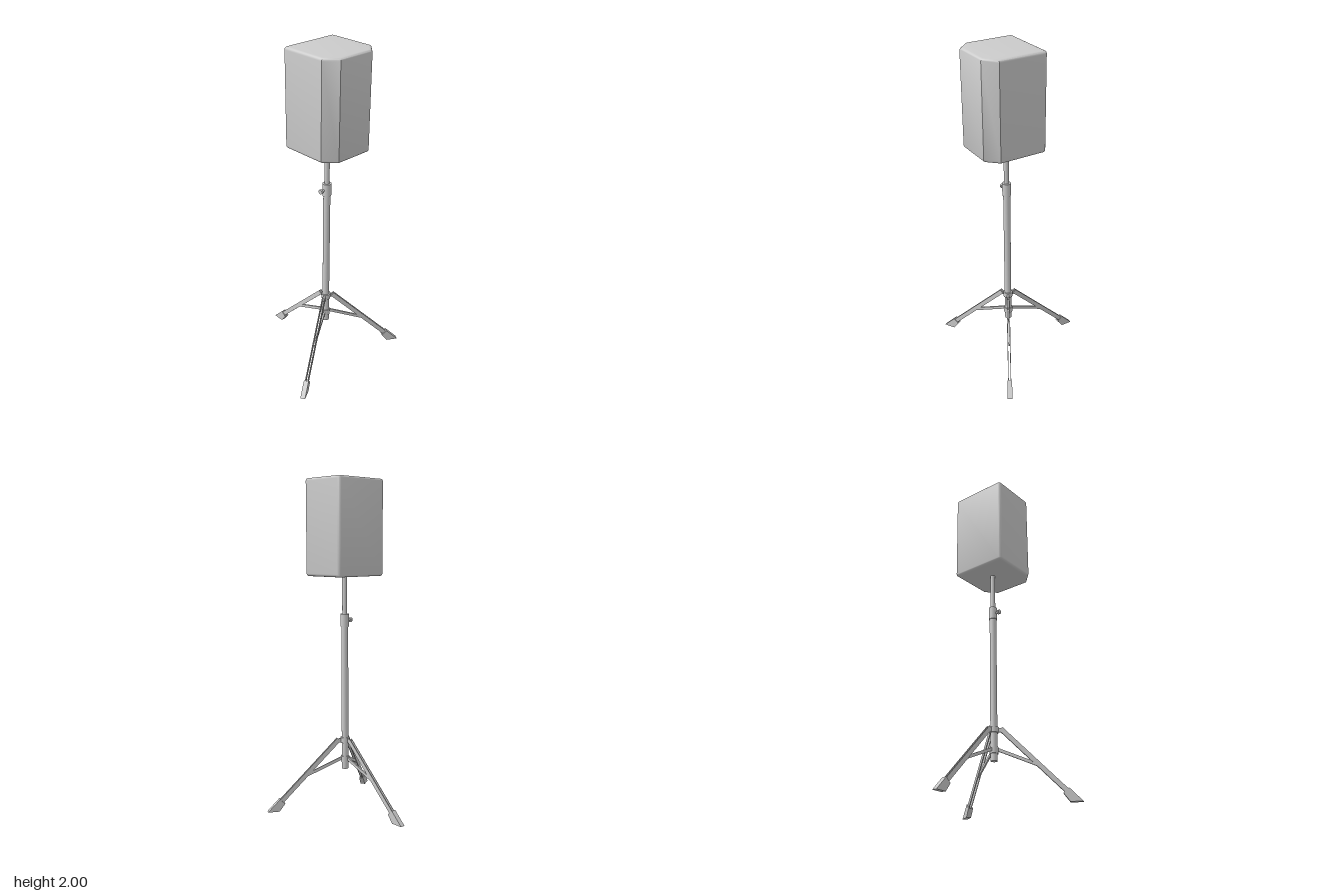
import * as THREE from 'three';
import { toCreasedNormals } from 'three/addons/utils/BufferGeometryUtils.js';

const material = new THREE.MeshStandardMaterial({ color: 0xcccccc });
const POLE_Z = 0.115;

function add(parent, name, geometry) {
  const mesh = new THREE.Mesh(geometry, material);
  mesh.name = name;
  parent.add(mesh);
  return mesh;
}

// Upright tube between two heights
function tube(parent, name, radius, y0, y1) {
  const mesh = add(parent, name, new THREE.CylinderGeometry(radius, radius, y1 - y0, 24));
  mesh.position.y = (y0 + y1) / 2;
  return mesh;
}

// Flat plate: a profile in the x-y plane, given a thickness across z
function plate(parent, name, points, thickness, z = 0) {
  const shape = new THREE.Shape(points.map(p => new THREE.Vector2(...p)));
  const geometry = new THREE.ExtrudeGeometry(shape, { depth: thickness, bevelEnabled: false });
  geometry.translate(0, 0, z - thickness / 2);
  return add(parent, name, geometry);
}

// Four corners of a straight bar running from a to b
function bar([ax, ay], [bx, by], width) {
  const l = Math.hypot(bx - ax, by - ay);
  const nx = -(by - ay) / l * width / 2, ny = (bx - ax) / l * width / 2;
  return [[ax - nx, ay - ny], [bx - nx, by - ny], [bx + nx, by + ny], [ax + nx, ay + ny]];
}

// Cabinet with chamfered front corners, rounded back corners and soft rims
function cabinet(parent) {
  const w = 0.18, back = -0.036, front = 0.321, chamferX = 0.114, chamferZ = 0.253, r = 0.018, b = 0.016;
  const s = new THREE.Shape();
  s.moveTo(chamferX, front);
  s.lineTo(w, chamferZ);
  s.lineTo(w, back + r);
  s.absarc(w - r, back + r, r, 0, -Math.PI / 2, true);
  s.lineTo(-w + r, back);
  s.absarc(-w + r, back + r, r, -Math.PI / 2, -Math.PI, true);
  s.lineTo(-w, chamferZ);
  s.lineTo(-chamferX, front);
  s.closePath();
  const geometry = new THREE.ExtrudeGeometry(s, {
    depth: 0.57 - 2 * b, bevelThickness: b, bevelSize: b, bevelOffset: -b, bevelSegments: 5, curveSegments: 6
  });
  geometry.rotateX(Math.PI / 2);
  geometry.translate(0, 2 - b, 0);
  add(parent, 'speakerCabinet', toCreasedNormals(geometry, 0.6));
}

// Leg pointing along +x: twin rails, brace, hub lugs and a foot cut flat on the ground
function leg(angle) {
  const g = new THREE.Group();
  g.name = 'leg';
  for (const side of [-1, 1])
    plate(g, 'legRail', bar([0.041, 0.426], [0.405, 0.056], 0.027), 0.004, side * 0.0075);
  plate(g, 'brace', bar([0.022, 0.306], [0.247, 0.211], 0.018), 0.009);
  plate(g, 'upperLug', [[0.018, 0.407], [0.05, 0.407], [0.05, 0.428], [0.018, 0.436]], 0.011);

  // Foot sleeve: side walls, sloped top and bottom, sole plug
  const outer = [[0.38, 0.047], [0.415, 0.0], [0.486, 0.0], [0.412, 0.076]];
  for (const side of [-1, 1]) plate(g, 'footWall', outer, 0.004, side * 0.0125);
  plate(g, 'footTop', [[0.407, 0.071], [0.478, 0.0], [0.486, 0.0], [0.412, 0.076]], 0.022);
  plate(g, 'footUnderside', [[0.38, 0.047], [0.415, 0.0], [0.422, 0.0], [0.385, 0.052]], 0.022);
  plate(g, 'footSole', [[0.405, 0.014], [0.415, 0.0], [0.486, 0.0], [0.472, 0.014]], 0.022);
  g.rotation.y = angle;
  return g;
}

export function createModel() {
  const model = new THREE.Group();
  model.name = 'speakerOnTripod';
  cabinet(model);

  const stand = new THREE.Group();
  stand.name = 'tripodStand';
  stand.position.z = POLE_Z;
  model.add(stand);

  // Telescopic pole with its collars
  tube(stand, 'innerPole', 0.015, 1.15, 1.435);
  tube(stand, 'outerPole', 0.0205, 0.24, 1.15);
  tube(stand, 'clampCollar', 0.0255, 1.125, 1.203);
  tube(stand, 'upperHub', 0.028, 0.405, 0.438);
  tube(stand, 'lowerHub', 0.026, 0.283, 0.32);

  // Clamp screw on the model's right
  const stem = add(stand, 'clampScrew', new THREE.CylinderGeometry(0.007, 0.007, 0.025, 12));
  stem.position.set(-0.032, 1.164, 0);
  stem.rotation.z = Math.PI / 2;
  const knob = add(stand, 'clampKnob', new THREE.CylinderGeometry(0.014, 0.014, 0.012, 16));
  knob.position.set(-0.047, 1.164, 0);
  knob.rotation.z = Math.PI / 2;

  // One leg to the back, two to the front
  for (let i = 0; i < 3; i++) stand.add(leg(Math.PI / 2 + i * Math.PI * 2 / 3));
  return model;
}
